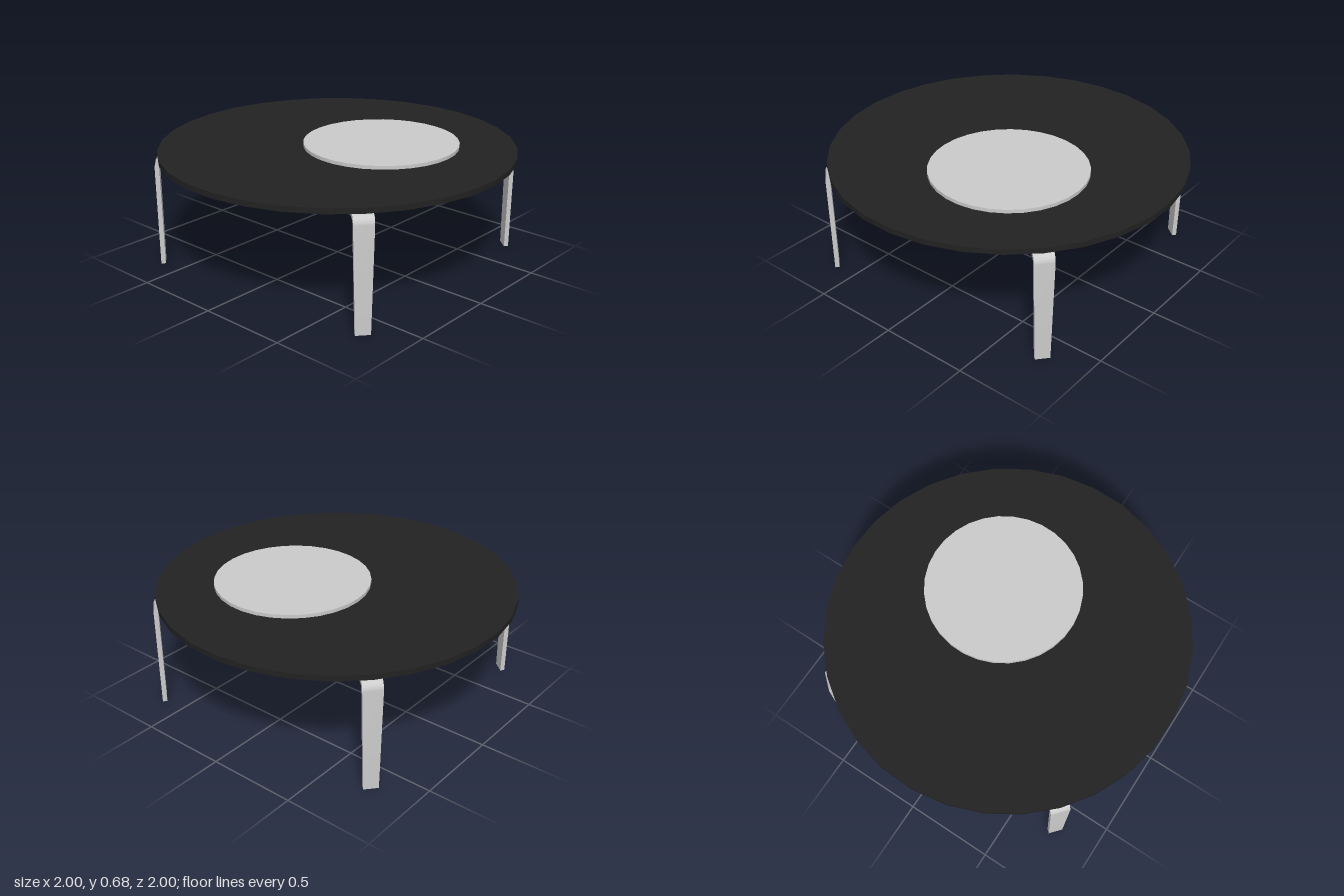
import * as THREE from 'three';
import { toCreasedNormals } from 'three/addons/utils/BufferGeometryUtils.js';

const TURN = THREE.MathUtils.degToRad(3.7); // slight twist of the whole table

// Round slab standing on the height y0
function disc(name, radius, y0, y1, material) {
  const geometry = new THREE.CylinderGeometry(radius, radius, y1 - y0, 32, 1, false, TURN);
  const mesh = new THREE.Mesh(toCreasedNormals(geometry, 0.6), material);
  mesh.name = name;
  mesh.position.y = (y0 + y1) / 2;
  return mesh;
}

// Bent strip: a horizontal arm under the top curving down into a tapered leg
function legGeometry() {
  const top = 0.624, thick = 0.025, outer = 1.015, armEnd = 0.835;
  const bend = 0.045, inner = bend - thick;
  const cx = outer - bend, cy = top - bend;
  const profile = new THREE.Shape();
  profile.moveTo(armEnd, top - thick);
  profile.lineTo(cx, top - thick);
  profile.absarc(cx, cy, inner, Math.PI / 2, 0, true);
  profile.lineTo(outer - thick, 0);
  profile.lineTo(outer, 0);
  profile.absarc(cx, cy, bend, 0, Math.PI / 2, false);
  profile.lineTo(armEnd, top);
  profile.closePath();

  const geometry = new THREE.ExtrudeGeometry(profile, { depth: 2, bevelEnabled: false, curveSegments: 6 });
  geometry.translate(0, 0, -1);
  // Narrow the strip towards the foot
  const pos = geometry.attributes.position;
  for (let i = 0; i < pos.count; i++) {
    const half = 0.04 + 0.0125 * Math.min(1, pos.getY(i) / cy);
    pos.setZ(i, pos.getZ(i) * half);
  }
  return toCreasedNormals(geometry, 0.6);
}

export function createModel() {
  const table = new THREE.Group();
  table.name = 'coffeeTable';
  const black = new THREE.MeshStandardMaterial({ color: 0x222222 });
  const grey = new THREE.MeshStandardMaterial({ color: 0xcccccc });

  // Large top with an off-centre round tray
  table.add(disc('tableTop', 1, 0.632, 0.662, black));
  const tray = disc('roundTray', 0.437, 0.662, 0.682, grey);
  tray.position.x = 0.19;
  tray.position.z = -0.155;
  table.add(tray);

  // Four legs at the diagonals
  const geometry = legGeometry();
  for (let i = 0; i < 4; i++) {
    const leg = new THREE.Mesh(geometry, grey);
    leg.name = `leg${i + 1}`;
    leg.rotation.y = TURN - Math.PI / 4 + i * Math.PI / 2;
    table.add(leg);
  }
  return table;
}
